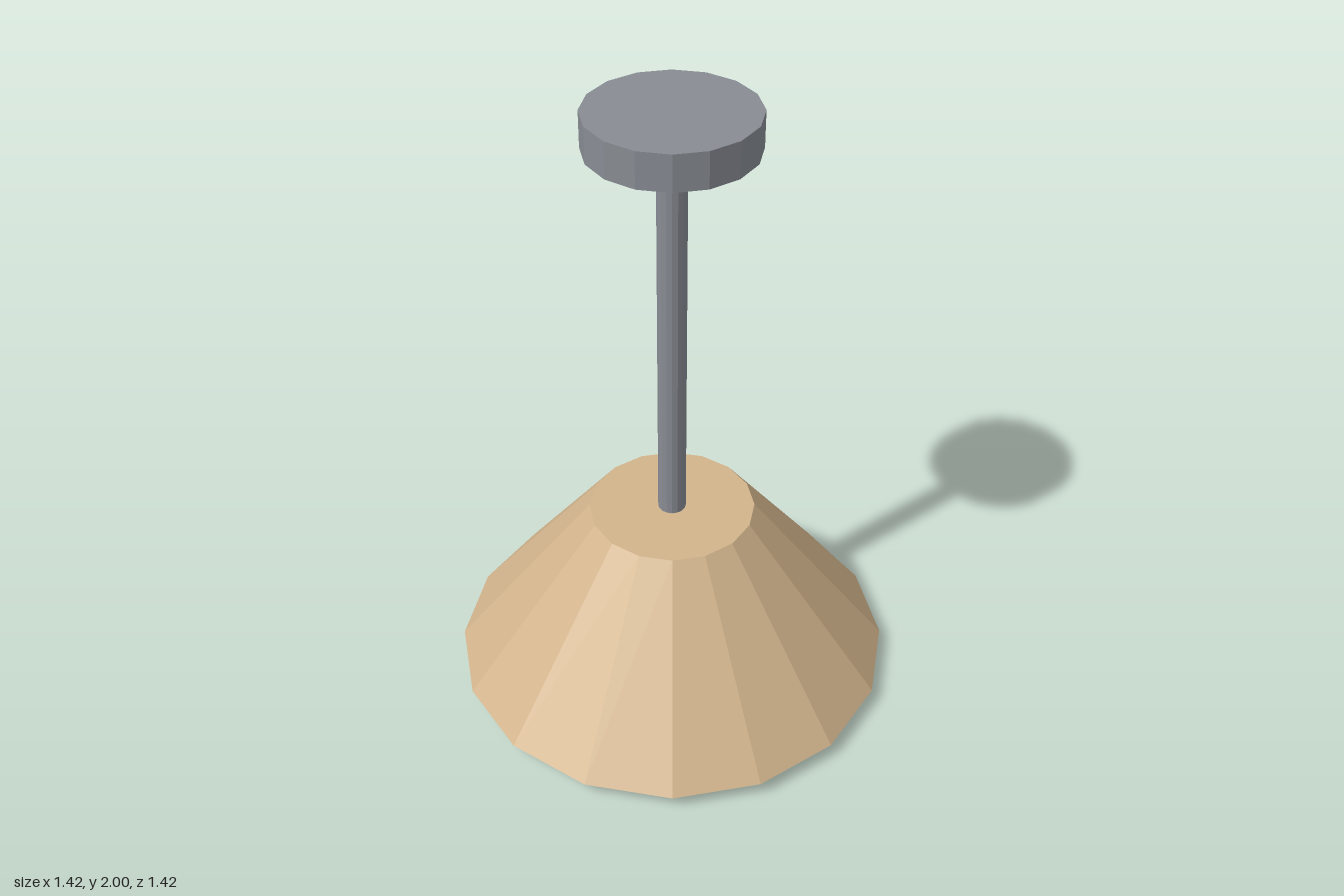
import * as THREE from 'three';

export function createModel() {
  const group = new THREE.Group();
  group.name = 'pendantLamp';

  const material = (name, color) => {
    const m = new THREE.MeshStandardMaterial({ color, flatShading: true });
    m.name = name;
    return m;
  };
  const metal = material('grey metal', 0x888c93);
  const tan = material('tan shade', 0xd2b48c);
  const cream = material('cream diffuser', 0xdccdb5);

  // Every part is a 16-sided drum or cone between two heights
  const addDrum = (name, mat, rTop, rBottom, y0, y1) => {
    const geometry = new THREE.CylinderGeometry(rTop, rBottom, y1 - y0, 16);
    const mesh = new THREE.Mesh(geometry, mat);
    mesh.name = name;
    mesh.position.y = (y0 + y1) / 2;
    group.add(mesh);
  };

  addDrum('ceilingCanopy', metal, 0.25, 0.25, 1.89, 2);
  addDrum('rod', metal, 0.044, 0.044, 0.6, 1.9);
  addDrum('shade', tan, 0.263, 0.708, 0.053, 0.625);
  // The diffuser peeks out below the shade
  addDrum('diffuser', cream, 0.46, 0.525, 0, 0.14);

  return group;
}
